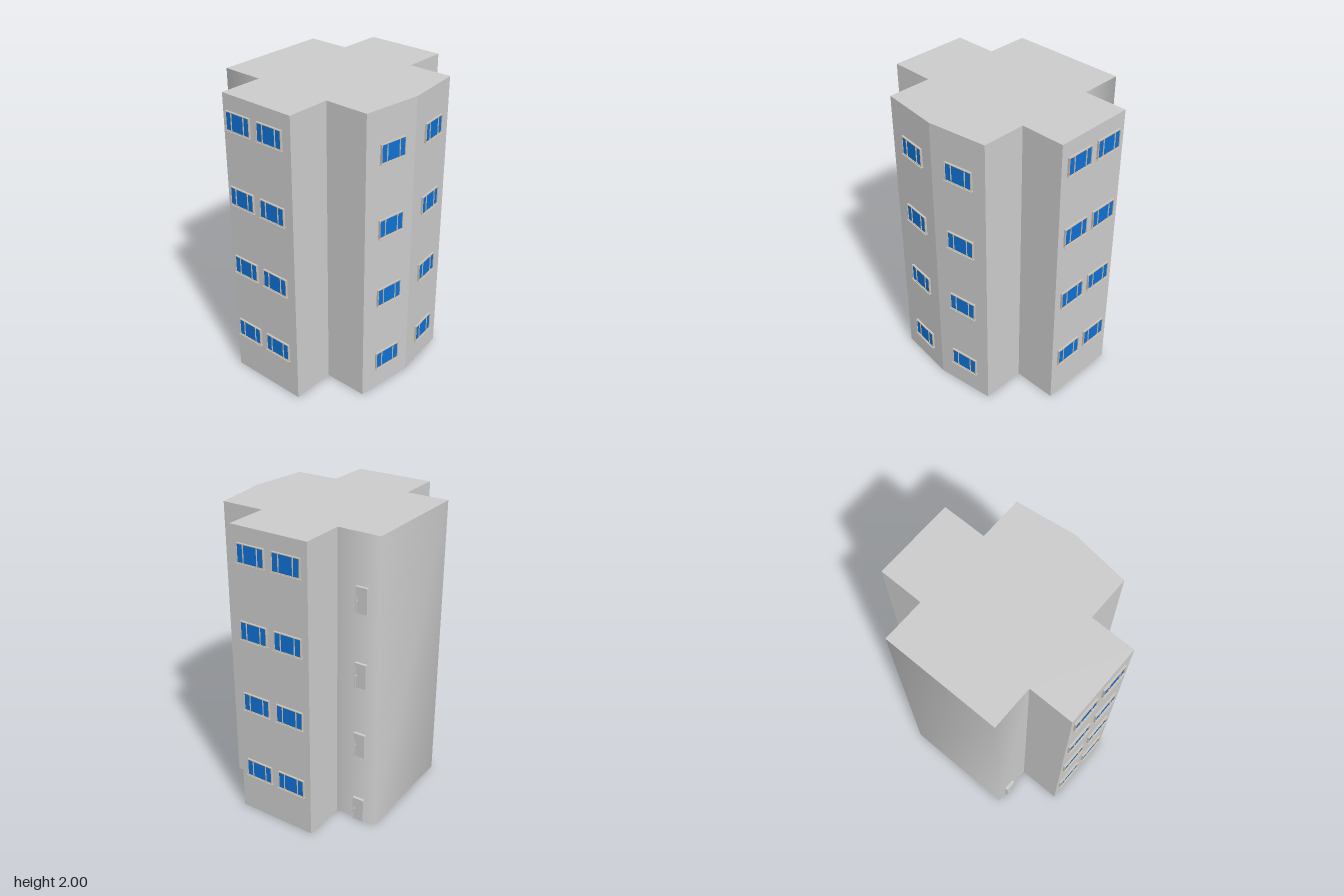
import * as THREE from 'three';

const paint = (color) => new THREE.MeshStandardMaterial({ color });
const wallMat = new THREE.MeshStandardMaterial({ color: 0xcccccc, side: THREE.DoubleSide });
const grey = paint(0xcccccc);
const trim = paint(0xccc2b4);
const glass = paint(0x0f70d2);

const HEIGHT = 2, FLOORS = 4, STOREY = 0.5;
const FRONT_TILT = Math.atan2(0.05, 0.4);

// Plan of the tower as [x, z], front first, then round by +x, back and -x
const PLAN = [
  [-0.4, 0.54], [0, 0.59], [0.4, 0.54], [0.4, 0.24], [0.7, 0.24], [0.7, -0.31], [0.4, -0.31],
  [0.4, -0.6], [-0.4, -0.6], [-0.4, -0.31], [-0.7, -0.31], [-0.7, 0.24], [-0.4, 0.24],
];

// Upright wall through plan points; corners inside one strip are smooth
function wall(points, name) {
  const pos = [], index = [];
  points.forEach(([x, z], i) => {
    pos.push(x, 0, z, x, HEIGHT, z);
    if (i > 0) {
      const a = 2 * i - 2;
      index.push(a, a + 2, a + 3, a, a + 3, a + 1);
    }
  });
  const geo = new THREE.BufferGeometry();
  geo.setAttribute('position', new THREE.Float32BufferAttribute(pos, 3));
  geo.setIndex(index);
  geo.computeVertexNormals();
  const mesh = new THREE.Mesh(geo, wallMat);
  mesh.name = name;
  return mesh;
}

function box(parent, name, mat, [w, h, d], [x, y, z]) {
  const mesh = new THREE.Mesh(new THREE.BoxGeometry(w, h, d), mat);
  mesh.position.set(x, y, z);
  mesh.name = name;
  parent.add(mesh);
  return mesh;
}

// Three-light window facing +z, sill at y = 0, wall plane at z = 0
function makeWindow() {
  const g = new THREE.Group();
  g.name = 'window';
  const W = 0.2, H = 0.125, bar = 0.005, depth = 0.014;
  for (const y of [bar / 2, H - bar / 2]) box(g, 'frameRail', trim, [W, bar, depth], [0, y, depth / 2]);
  for (const x of [-W / 2 + bar / 2, -0.051, 0.051, W / 2 - bar / 2]) {
    box(g, 'framePost', trim, [bar, H - 2 * bar, depth], [x, H / 2, depth / 2]);
  }
  for (const [x, w] of [[-0.074, 0.041], [0, 0.097], [0.074, 0.041]]) {
    box(g, 'pane', glass, [w, H - 2 * bar, 0.006], [x, H / 2, 0.006]);
  }
  box(g, 'sill', trim, [W + 0.01, 0.004, 0.02], [0, -0.002, 0.01]);
  return g;
}

// Door facing +z with its threshold at y = 0
function makeDoor() {
  const g = new THREE.Group();
  g.name = 'door';
  const W = 0.08, H = 0.17, bar = 0.006;
  for (const s of [-1, 1]) box(g, 'doorPost', grey, [bar, H, 0.02], [s * (W - bar) / 2, H / 2, 0.01]);
  box(g, 'doorHead', grey, [W - 2 * bar, bar, 0.02], [0, H - bar / 2, 0.01]);
  box(g, 'doorLeaf', grey, [W - 2 * bar, H - bar, 0.016], [0, (H - bar) / 2, 0.008]);
  box(g, 'handlePlate', grey, [0.004, 0.014, 0.004], [-0.026, 0.085, 0.018]);
  box(g, 'handle', grey, [0.012, 0.003, 0.004], [-0.022, 0.087, 0.026]);
  box(g, 'handleStem', grey, [0.003, 0.003, 0.008], [-0.026, 0.087, 0.022]);
  return g;
}

export function createModel() {
  const model = new THREE.Group();
  model.name = 'towerBlock';

  // Outer walls, open at the base; the back bay is one smooth strip
  PLAN.forEach((p, i) => {
    if (i < 6 || i > 8) model.add(wall([p, PLAN[(i + 1) % PLAN.length]], 'wall'));
  });
  model.add(wall(PLAN.slice(6, 10), 'backWall'));

  // Flat roof
  const shape = new THREE.Shape(PLAN.map(([x, z]) => new THREE.Vector2(x, -z)));
  const roof = new THREE.Mesh(new THREE.ShapeGeometry(shape).rotateX(-Math.PI / 2), wallMat);
  roof.position.y = HEIGHT;
  roof.name = 'roof';
  model.add(roof);

  // Window columns: x, sill height, z, turn about y
  const columns = [
    [0.208, 0.163, 0.564, FRONT_TILT],
    [-0.19, 0.157, 0.566, -FRONT_TILT],
    [0.7, 0.272, 0.09, Math.PI / 2],
    [0.7, 0.272, -0.165, Math.PI / 2],
    [-0.7, 0.272, 0.075, -Math.PI / 2],
    [-0.7, 0.272, -0.182, -Math.PI / 2],
  ];
  const place = (part, x, y, z, turn) => {
    part.position.set(x, y, z);
    part.rotation.y = turn;
    model.add(part);
  };
  for (let floor = 0; floor < FLOORS; floor++) {
    const base = floor * STOREY;
    for (const [x, y, z, turn] of columns) place(makeWindow(), x, base + y, z, turn);
    // A door on every storey at +x
    place(makeDoor(), 0.4, base + 0.003, -0.488, Math.PI / 2);
  }
  // Ground-floor entrance at -x
  place(makeDoor(), -0.4, 0.003, -0.488, -Math.PI / 2);

  return model;
}
